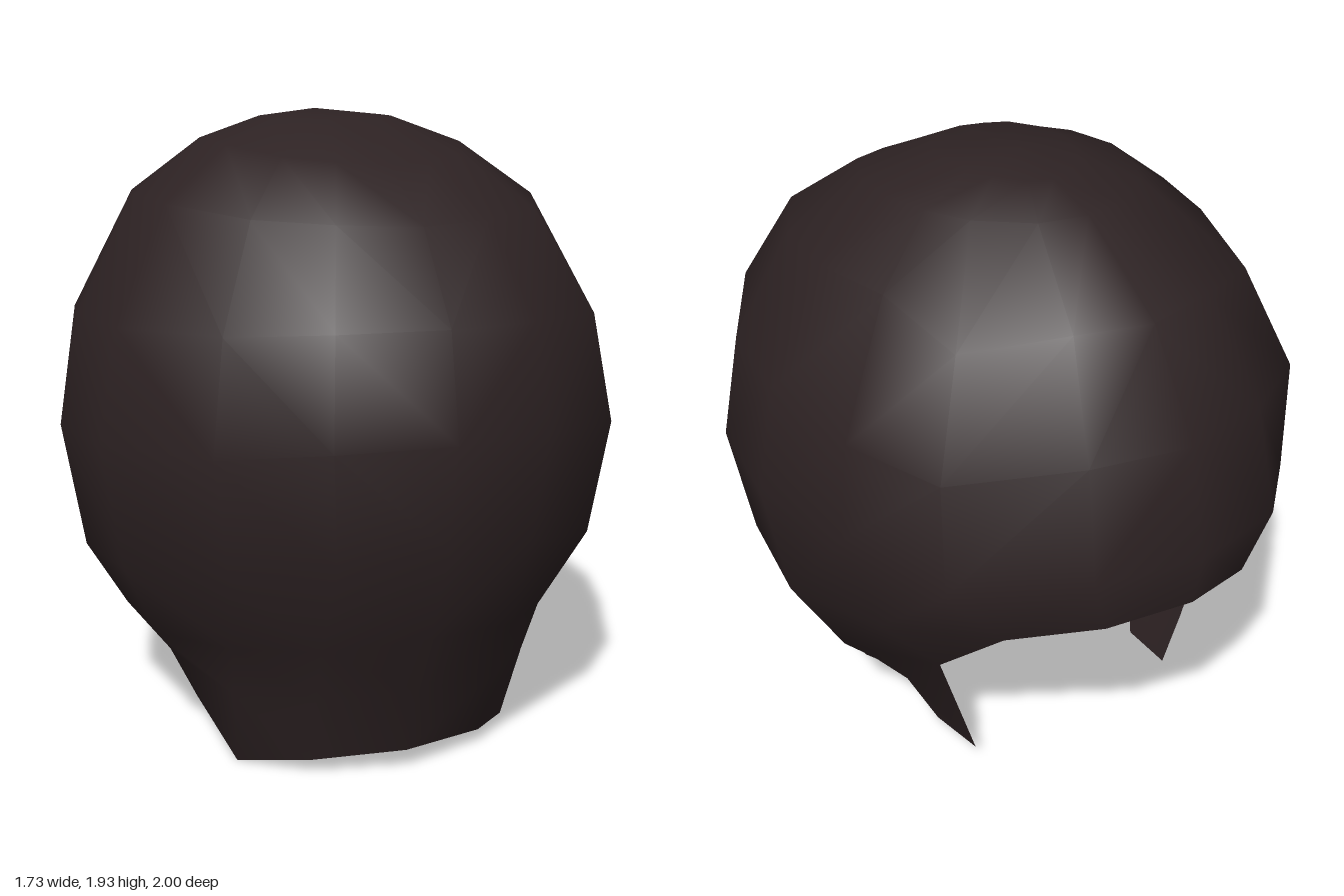
import * as THREE from 'three';

// Unit outline of a half ring, from the brow (-z) round the side to the nape (+z)
const outline = [[0, -1], [0.37, -0.93], [0.73, -0.65], [0.9, -0.34], [1, 0.02],
  [0.95, 0.38], [0.7, 0.78], [0.37, 0.92], [0, 1]];

// Rings from the crown down: [nape z, y], [side x, y], [brow z, y]
const rings = [
  [[0.26, 1.90], [0.20, 1.91], [0.25, 1.89]],
  [[0.53, 1.78], [0.40, 1.84], [0.42, 1.84]],
  [[0.76, 1.63], [0.62, 1.68], [0.73, 1.64]],
  [[0.94, 1.38], [0.80, 1.33], [0.92, 1.35]],
  [[1.00, 1.08], [0.865, 0.99], [1.00, 1.03]],
  [[0.96, 0.77], [0.80, 0.60], [0.97, 0.86]],
];

// Points off the regular rings, by ring and column: full temples, then the
// hairline that turns in under the brow
const shaped = {
  2: { 2: [0.5, 1.6, -0.53] },
  3: { 2: [0.62, 1.29, -0.64], 3: [0.74, 1.3, -0.33] },
  4: { 2: [0.62, 0.93, -0.65] },
  5: { 0: [0, 0.86, -0.97], 1: [0.25, 0.827, -0.9], 2: [0.46, 0.74, -0.7], 3: [0.71, 0.71, -0.42] },
};

// Lower rows, from the sideburn's front edge round to the nape
const lower = [
  [[0.52, 0.48, -0.43], [0.66, 0.36, -0.05], [0.65, 0.38, 0.29], [0.5, 0.42, 0.58], [0.3, 0.46, 0.78], [0, 0.48, 0.85]],
  [[0.45, 0.25, -0.43], [0.57, 0.28, -0.08], [0.58, 0.28, 0.22], [0.48, 0.25, 0.52], [0.29, 0.27, 0.7], [0, 0.29, 0.77]],
  [[0.39, 0.06, -0.42], [0.485, 0.2, -0.09], [0.49, 0.09, 0.15], [0.45, 0, 0.45], [0.28, 0.05, 0.62], [0, 0.07, 0.7]],
];
const firstLower = 3;

// Half of one ring as nine points
function ringPoints([nape, side, brow], row) {
  return outline.map(([ox, oz], c) => {
    const end = oz > 0 ? nape : brow;
    const y = THREE.MathUtils.lerp(side[1], end[1], oz * oz);
    return shaped[row]?.[c] ?? [ox * side[0], y, oz * end[0]];
  });
}

function hairGeometry() {
  const rows = rings.map(ringPoints);
  for (const row of lower) rows.push([...Array(firstLower).fill(null), ...row]);

  const positions = [];
  const index = [];
  const add = (x, y, z) => positions.push(x, y, z) / 3 - 1;

  // Mirror each half row into a closed loop of sixteen points
  const pole = add(0, 1.93, -0.07);
  const ids = rows.map((row) => Array.from({ length: 16 }, (_, c) => {
    const p = row[c <= 8 ? c : 16 - c];
    return p ? add(c <= 8 ? p[0] : -p[0], p[1], p[2]) : -1;
  }));

  // Crown fan, then strips between neighbouring rows; a cell short of one
  // corner at the hairline becomes a triangle
  for (let c = 0; c < 16; c++) {
    const n = (c + 1) % 16;
    index.push(pole, ids[0][n], ids[0][c]);
    for (let r = 0; r + 1 < ids.length; r++) {
      const a = ids[r][c], b = ids[r][n], d = ids[r + 1][n], e = ids[r + 1][c];
      const cell = (c < 8 ? [a, b, d, e] : [b, d, e, a]).filter((id) => id >= 0);
      for (let k = 2; k < cell.length; k++) index.push(cell[0], cell[k - 1], cell[k]);
    }
  }

  // Pointed rear corner of each sideburn
  const last = ids[ids.length - 1];
  index.push(last[4], add(0.41, 0.035, -0.21), last[3]);
  index.push(last[13], add(-0.41, 0.035, -0.21), last[12]);

  const geometry = new THREE.BufferGeometry();
  geometry.setAttribute('position', new THREE.Float32BufferAttribute(positions, 3));
  geometry.setIndex(index);
  geometry.computeVertexNormals();
  return geometry;
}

export function createModel() {
  const group = new THREE.Group();
  group.name = 'hairpiece';
  const material = new THREE.MeshStandardMaterial({ color: 0x2d2223, side: THREE.DoubleSide });
  material.name = 'dark brown hair';
  const hair = new THREE.Mesh(hairGeometry(), material);
  hair.name = 'hairShell';
  group.add(hair);
  return group;
}
